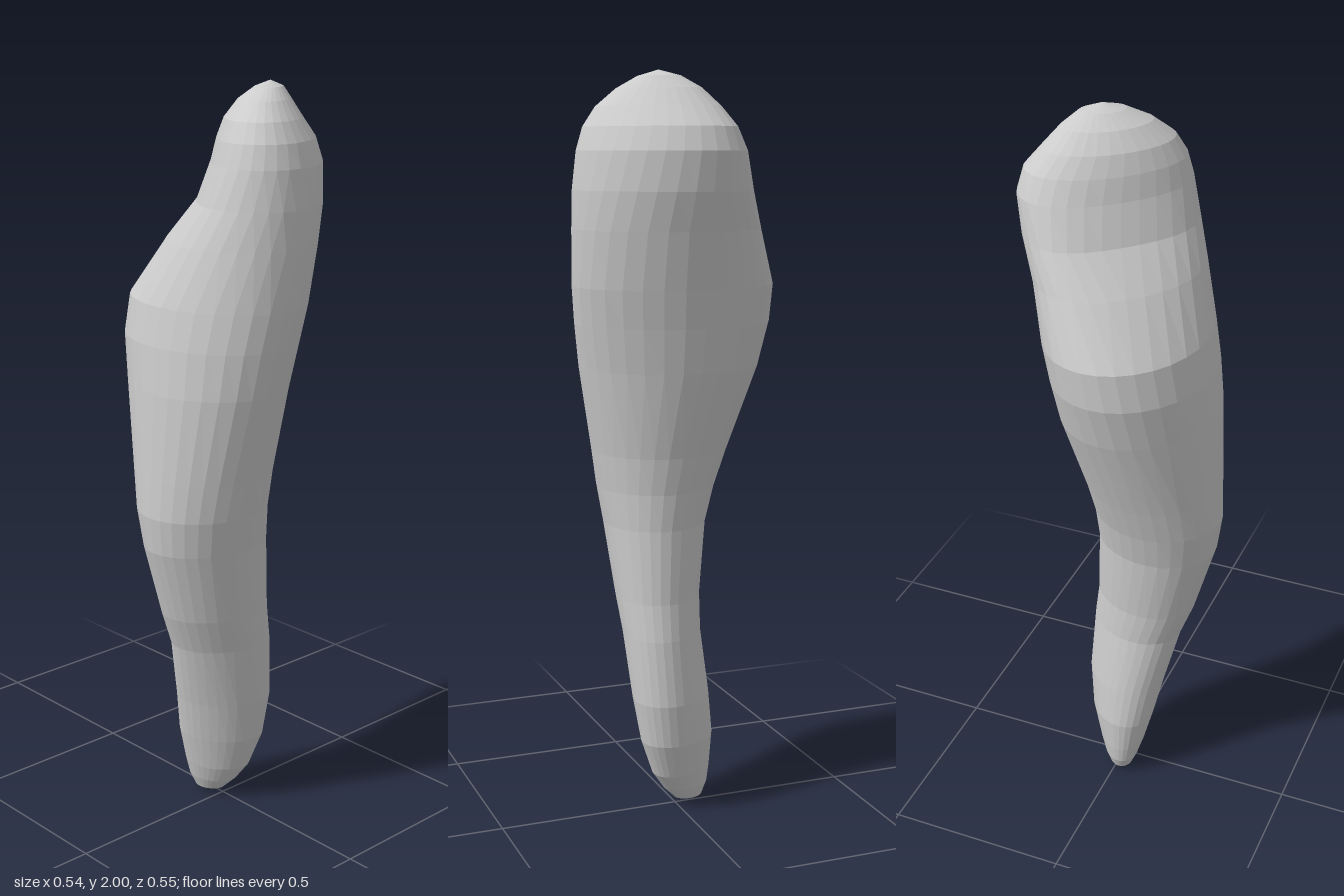
import * as THREE from 'three';

// Cross-sections: height, x min, x max, z min, z max, skew of the ellipse
const SECTIONS = [
  [0.015, -0.045, 0.025, -0.085, 0.0, 0.2],
  [0.05, -0.06, 0.045, -0.1, 0.035, 0.25],
  [0.1, -0.075, 0.067, -0.107, 0.07, 0.28],
  [0.2, -0.1, 0.097, -0.115, 0.105, 0.28],
  [0.32, -0.125, 0.11, -0.105, 0.125, 0.25],
  [0.5, -0.168, 0.1, -0.086, 0.14, 0.19],
  [0.6, -0.205, 0.087, -0.09, 0.15, 0.15],
  [0.8, -0.26, 0.08, -0.115, 0.17, 0.09],
  [0.9, -0.272, 0.085, -0.14, 0.185, 0.04],
  [1.0, -0.267, 0.1, -0.17, 0.2, 0],
  [1.23, -0.254, 0.15, -0.242, 0.24, -0.07],
  [1.35, -0.243, 0.172, -0.27, 0.258, -0.05],
  [1.45, -0.225, 0.192, -0.272, 0.27, -0.05],
  [1.6, -0.18, 0.225, -0.21, 0.276, -0.15],
  [1.7, -0.147, 0.255, -0.165, 0.275, -0.27],
  [1.8, -0.12, 0.271, -0.128, 0.265, -0.38],
  [1.86, -0.102, 0.255, -0.1, 0.246, -0.44],
  [1.91, -0.075, 0.213, -0.065, 0.214, -0.48],
  [1.955, -0.025, 0.175, -0.02, 0.168, -0.5],
  [1.985, 0.035, 0.14, 0.03, 0.125, -0.45],
];
const NECK = 10; // section where root and crown meet
const SIDES = 30;

// One skewed elliptical ring, hollowed on the inner face of the crown
function ring([y, x0, x1, z0, z1, skew]) {
  const cx = (x0 + x1) / 2, hx = (x1 - x0) / 2;
  const cz = (z0 + z1) / 2, hz = (z1 - z0) / 2;
  const hw = Math.sqrt((hx * hx + hz * hz) / 2 + skew * hx * hz);
  const hollow = 0.035 * Math.exp(-(((y - 1.7) / 0.14) ** 2));
  const points = [];
  for (let i = 0; i < SIDES; i++) {
    const t = (i / SIDES) * Math.PI * 2;
    const dx = hx * Math.cos(t);
    const dz = hz * (skew * Math.cos(t) + Math.sqrt(1 - skew * skew) * Math.sin(t));
    const inner = Math.max(0, -(dx + dz) / Math.SQRT2 / hw);
    const push = (hollow * inner ** 3) / Math.SQRT2;
    points.push([cx + dx + push, y, cz + dz + push]);
  }
  return points;
}

// Skin a run of rings, closing one end with a single point
function loft(sections, bottomTip, topTip) {
  const rings = sections.map(ring);
  if (bottomTip) rings.unshift(Array(SIDES).fill(bottomTip));
  if (topTip) rings.push(Array(SIDES).fill(topTip));
  const index = [];
  for (let r = 0; r < rings.length - 1; r++) {
    for (let i = 0; i < SIDES; i++) {
      const j = (i + 1) % SIDES;
      const a = r * SIDES + i, b = r * SIDES + j;
      const c = a + SIDES, d = b + SIDES;
      if (!(topTip && r === rings.length - 2)) index.push(a, c, d);
      else index.push(a, c, b);
      if (!(bottomTip && r === 0) && !(topTip && r === rings.length - 2)) index.push(a, d, b);
    }
  }
  const geometry = new THREE.BufferGeometry();
  geometry.setAttribute('position', new THREE.Float32BufferAttribute(rings.flat(2), 3));
  geometry.setIndex(index);
  geometry.computeVertexNormals();
  return geometry;
}

export function createModel() {
  const group = new THREE.Group();
  group.name = 'tooth';
  const material = new THREE.MeshStandardMaterial({ color: 0xcccccc, flatShading: true });

  // Long curved root with a rounded tip
  const root = new THREE.Mesh(loft(SECTIONS.slice(0, NECK + 1), [-0.01, 0, -0.05], null), material);
  root.name = 'root';

  // Crown with a slanted cutting edge
  const crown = new THREE.Mesh(loft(SECTIONS.slice(NECK), null, [0.09, 2, 0.08]), material);
  crown.name = 'crown';

  group.add(root, crown);
  return group;
}
